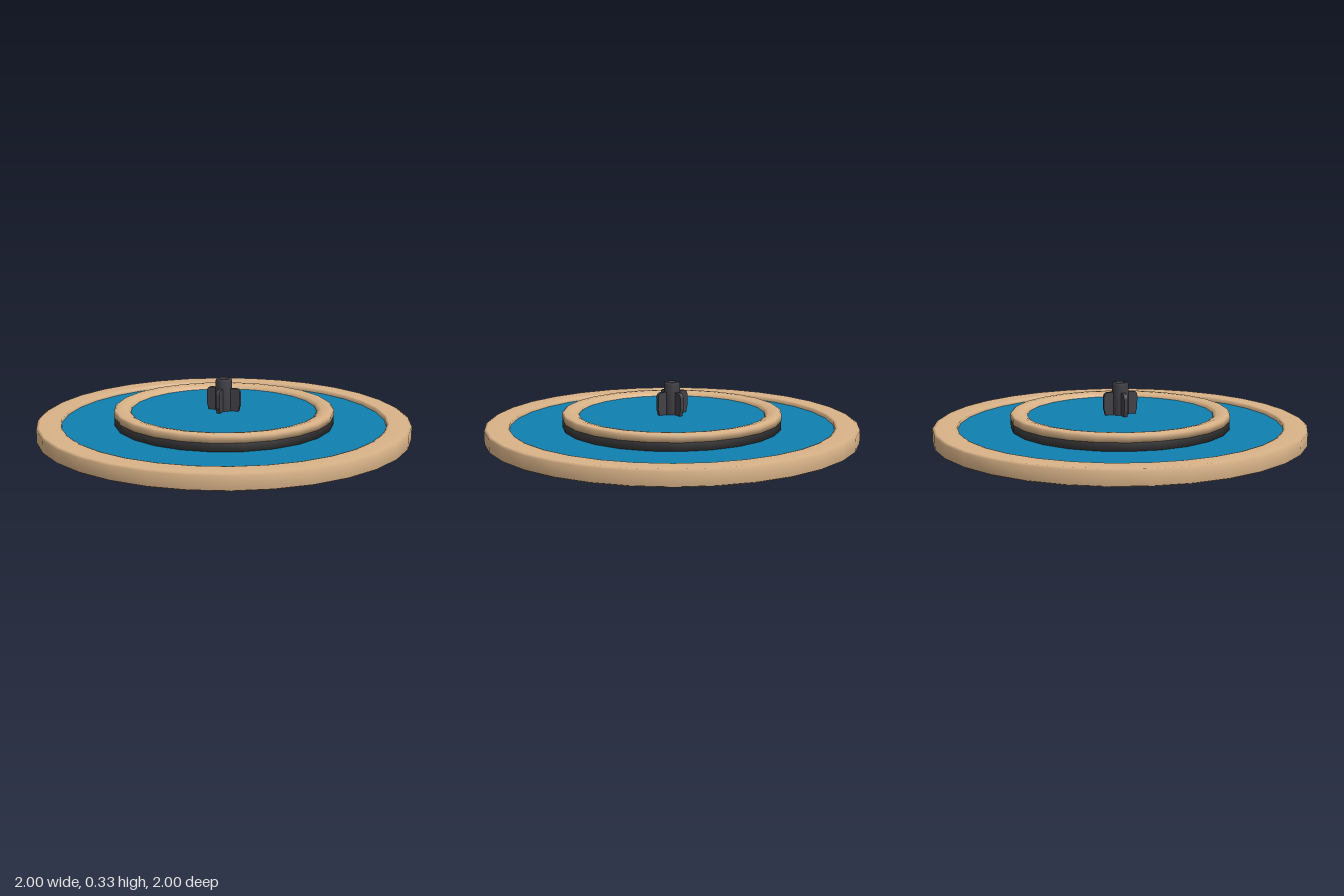
import * as THREE from 'three';

const mat = (name, color) => {
  const m = new THREE.MeshStandardMaterial({ color });
  m.name = name;
  return m;
};

export function createModel() {
  const group = new THREE.Group();
  const tan = mat('tan', 0xd9b388);
  const blue = mat('blue', 0x0f80b0);
  const black = mat('black', 0x2c2c2e);
  const charcoal = mat('charcoal', 0x404046);

  const add = (name, geometry, material, parent = group) => {
    const mesh = new THREE.Mesh(geometry, material);
    mesh.name = name;
    parent.add(mesh);
    return mesh;
  };
  // Closed ring from a counterclockwise [radius, height] profile
  const ring = (name, profile, sides, material, parent) => {
    const pts = [...profile, profile[0]].map(([r, y]) => new THREE.Vector2(r, y));
    return add(name, new THREE.LatheGeometry(pts, sides), material, parent);
  };
  const disc = (name, radius, y0, y1, sides, material) => {
    const mesh = add(name, new THREE.CylinderGeometry(radius, radius, y1 - y0, sides), material);
    mesh.position.y = (y0 + y1) / 2;
  };

  // Wide outer rim and its recessed deck
  ring('outerRim', [
    [0.87, 0.06], [0.87, 0.034], [0.885, 0.03], [0.985, 0.03], [1, 0.038],
    [1, 0.107], [0.985, 0.115], [0.885, 0.115], [0.87, 0.111], [0.87, 0.09],
  ], 32, tan);
  disc('outerDeck', 0.88, 0.068, 0.094, 32, blue);

  // Raised centre: lower ring, dark band, upper ring sloping inwards
  ring('lowerRing', [
    [0.5, 0.015], [0.515, 0.004], [0.53, 0], [0.58, 0], [0.59, 0.006], [0.59, 0.08], [0.5, 0.08],
  ], 24, tan);
  ring('darkBand', [[0.5, 0.08], [0.588, 0.08], [0.588, 0.14], [0.5, 0.14]], 24, black);
  ring('upperRing', [
    [0.5, 0.138], [0.59, 0.138], [0.59, 0.17], [0.58, 0.178], [0.55, 0.18], [0.52, 0.174], [0.5, 0.163],
  ], 24, tan);
  disc('innerDeck', 0.505, 0.02, 0.157, 24, blue);

  // Hollow hub standing in the centre, its foot showing underneath
  const hub = new THREE.Group();
  hub.name = 'centreHub';
  group.add(hub);
  ring('hubTube', [
    [0.022, 0.15], [0.044, 0.15], [0.044, 0.322], [0.037, 0.331], [0.028, 0.331], [0.022, 0.322],
  ], 16, charcoal, hub);
  ring('hubFoot', [
    [0.022, 0.025], [0.022, 0.015], [0.03, 0.01], [0.038, 0.01], [0.044, 0.016], [0.044, 0.025],
  ], 16, charcoal, hub);

  // Four upright fins with rounded outer corners
  const s = new THREE.Shape();
  s.moveTo(0.035, 0.15);
  s.lineTo(0.082, 0.15);
  s.lineTo(0.094, 0.19);
  s.lineTo(0.094, 0.255);
  s.quadraticCurveTo(0.092, 0.278, 0.075, 0.28);
  s.lineTo(0.035, 0.28);
  const finGeo = new THREE.ExtrudeGeometry(s, { depth: 0.02, bevelEnabled: false, curveSegments: 4 });
  finGeo.translate(0, 0, -0.01);
  for (let i = 0; i < 4; i++) {
    add('hubFin', finGeo, charcoal, hub).rotation.y = (i * Math.PI) / 2;
  }
  return group;
}
